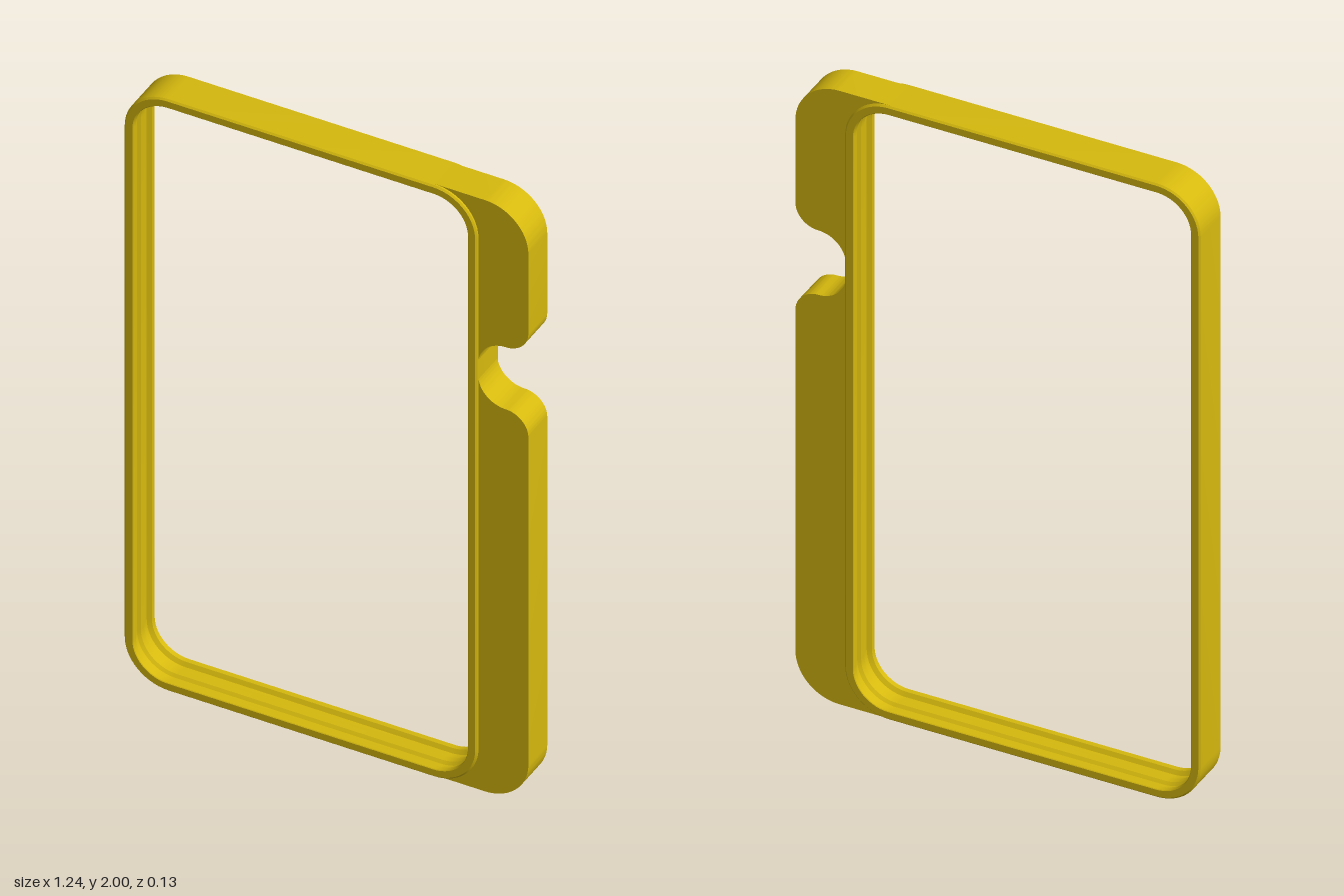
import * as THREE from 'three';
import { toCreasedNormals } from 'three/addons/utils/BufferGeometryUtils.js';

const LEFT = -0.622, RIGHT = 0.468, TOP = 2, R = 0.135;
const CORNER_STEPS = 14;

// Rounded rectangle of the frame, moved inwards by d, counterclockwise
function outline(d) {
  const centres = [[RIGHT - R, R], [RIGHT - R, TOP - R], [LEFT + R, TOP - R], [LEFT + R, R]];
  const points = [];
  centres.forEach(([cx, cy], k) => {
    for (let i = 0; i <= CORNER_STEPS; i++) {
      const a = (k - 1 + i / CORNER_STEPS) * Math.PI / 2;
      points.push([cx + (R - d) * Math.cos(a), cy + (R - d) * Math.sin(a)]);
    }
  });
  return points;
}

// Sweep a closed [inset, z] section around the outline
function sweptFrame(section) {
  const loops = section.map(([d]) => outline(d));
  const n = loops[0].length, m = section.length;
  const positions = [];
  const add = (i, j) => positions.push(...loops[j % m][i % n], section[j % m][1]);
  for (let j = 0; j < m; j++) {
    for (let i = 0; i < n; i++) {
      add(i, j); add(i + 1, j); add(i + 1, j + 1);
      add(i, j); add(i + 1, j + 1); add(i, j + 1);
    }
  }
  const geometry = new THREE.BufferGeometry();
  geometry.setAttribute('position', new THREE.Float32BufferAttribute(positions, 3));
  return toCreasedNormals(geometry, 0.6);
}

// Side grip hugging the frame, with a rounded notch in its outer edge
function gripShape() {
  const outer = 0.622, c = outer - R, x0 = RIGHT - R, inset = 0.01, H = Math.PI / 2;
  const s = new THREE.Shape();
  s.moveTo(x0, 0);
  s.lineTo(c, 0);
  s.absarc(c, R, R, -H, 0, false);
  // lower shoulder, notch, upper shoulder
  s.lineTo(outer, 1.245);
  s.absarc(outer - 0.07, 1.245, 0.07, 0, H, false);
  s.absarc(0.552, 1.4, 0.085, -H, -2 * H, true);
  s.lineTo(0.467, 1.44);
  s.absarc(0.552, 1.44, 0.085, 2 * H, H, true);
  s.absarc(outer - 0.07, 1.595, 0.07, -H, 0, false);
  s.lineTo(outer, TOP - R);
  s.absarc(c, TOP - R, R, 0, H, false);
  s.lineTo(x0, TOP);
  // inner side, buried slightly in the frame wall
  s.absarc(x0, TOP - R, R - inset, H, 0, true);
  s.absarc(x0, R, R - inset, 0, -H, true);
  s.closePath();
  return s;
}

export function createModel() {
  const group = new THREE.Group();
  const material = new THREE.MeshStandardMaterial({ color: 0xd6b90e });

  // Frame section: bevelled outer wall, two lips, grooves and a middle ridge
  const half = 0.063, bevel = 0.005, lip = 0.028;
  const section = [
    [bevel, -half], [0, -half + bevel], [0, half - bevel], [bevel, half],
    [lip - 0.002, half], [lip, half - 0.002],
    [lip, 0.046], [0.016, 0.038], [0.016, 0.018], [0.024, 0.010],
    [0.024, -0.010], [0.016, -0.018], [0.016, -0.038], [lip, -0.046],
    [lip, -half + 0.002], [lip - 0.002, -half],
  ];
  const frame = new THREE.Mesh(sweptFrame(section), material);
  frame.name = 'frame';
  group.add(frame);

  const gripGeometry = new THREE.ExtrudeGeometry(gripShape(), {
    depth: 0.108, bevelEnabled: false, curveSegments: 14,
  });
  gripGeometry.translate(0, 0, -0.055);
  const grip = new THREE.Mesh(toCreasedNormals(gripGeometry, 0.6), material);
  grip.name = 'sideGrip';
  group.add(grip);

  return group;
}
